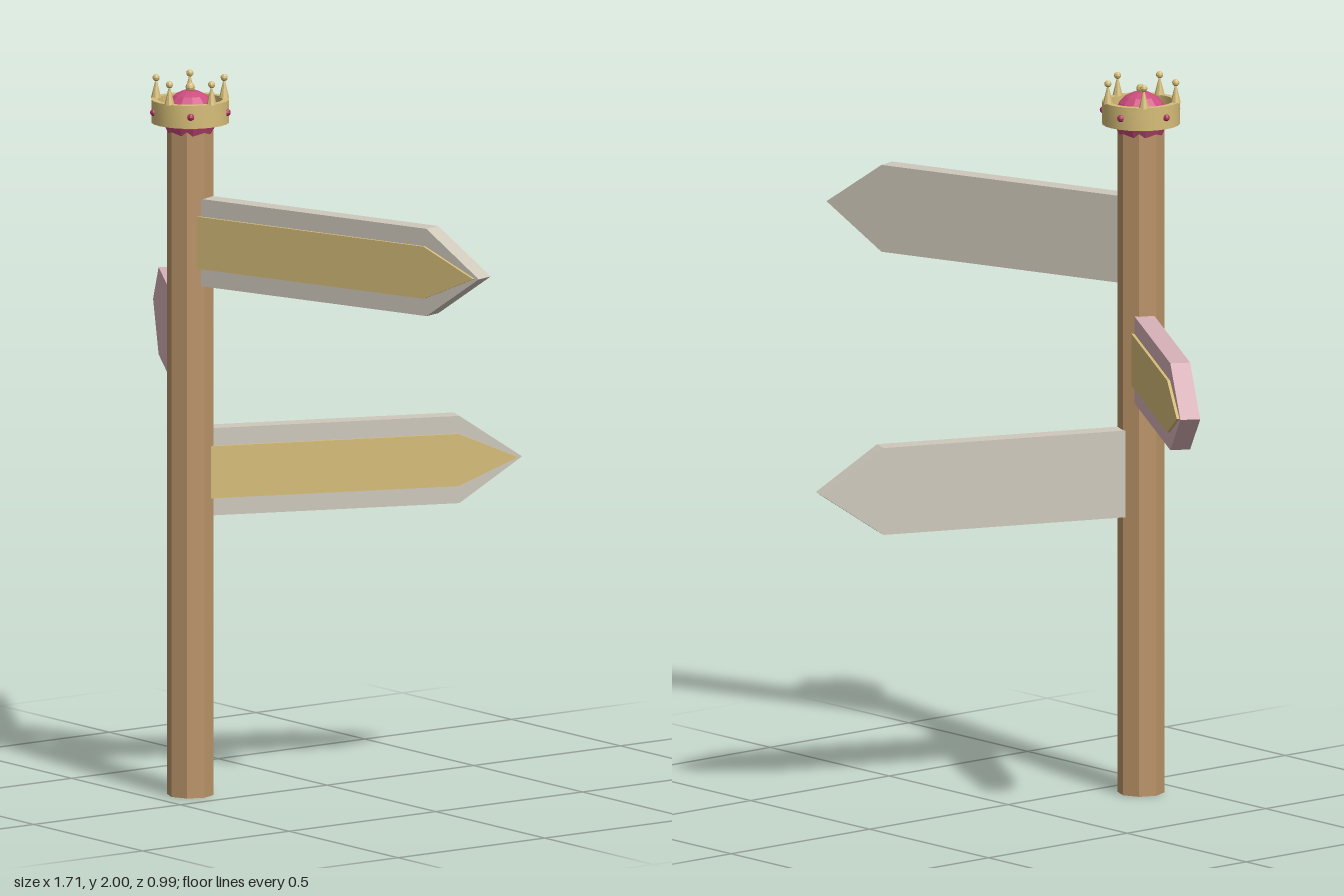
import * as THREE from 'three';
import { toCreasedNormals } from 'three/addons/utils/BufferGeometryUtils.js';

const material = (name, color) => {
  const m = new THREE.MeshStandardMaterial({ color });
  m.name = name;
  return m;
};

export function createModel() {
  const wood = material('wood', 0xba9468);
  const stone = material('pale grey', 0xcfc9bc);
  const rose = material('pale pink', 0xd8b2b8);
  const gold = material('gold', 0xd6bd78);
  const velvet = material('velvet pink', 0xcc4d7d);
  const ruby = material('ruby', 0xb0305f);

  const model = new THREE.Group();
  model.name = 'signpost';
  // everything is placed around the post's axis
  const post = new THREE.Group();
  post.name = 'postAssembly';
  post.position.set(-0.111, 0, 0.384);
  model.add(post);

  const add = (parent, name, geometry, mat, x = 0, y = 0, z = 0) => {
    const mesh = new THREE.Mesh(geometry, mat);
    mesh.name = name;
    mesh.position.set(x, y, z);
    parent.add(mesh);
    return mesh;
  };
  const faceted = (geometry) => toCreasedNormals(geometry, 0.01);

  // octagonal post
  add(post, 'pole', faceted(new THREE.CylinderGeometry(0.0645, 0.0645, 1.89, 8)), wood, 0, 0.945, 0);

  // arrow board: flat at the post, pointed at the far end
  const arrow = (start, shoulder, tip, height, depth) => {
    const h = height / 2;
    const shape = new THREE.Shape([
      new THREE.Vector2(start, -h),
      new THREE.Vector2(shoulder, -h),
      new THREE.Vector2(tip, 0),
      new THREE.Vector2(shoulder, h),
      new THREE.Vector2(start, h),
    ]);
    return new THREE.ExtrudeGeometry(shape, { depth, bevelEnabled: false });
  };

  const signs = [
    { name: 'upperSign', y: 1.546, angle: 17.1, tip: 1.0, mat: stone },
    { name: 'middleSign', y: 1.222, angle: 148.3, tip: 0.862, mat: rose },
    { name: 'lowerSign', y: 0.9, angle: 68.8, tip: 0.935, mat: stone },
  ];
  for (const { name, y, angle, tip, mat } of signs) {
    const sign = new THREE.Group();
    sign.name = name;
    sign.position.y = y;
    sign.rotation.y = THREE.MathUtils.degToRad(angle);
    post.add(sign);
    add(sign, 'board', arrow(0.045, tip - 0.178, tip, 0.243, 0.055), mat, 0, 0, -0.0285);
    add(sign, 'goldPanel', arrow(0.045, tip - 0.182, tip - 0.014, 0.145, 0.008), gold, 0, 0, 0.0265);
  }

  // crown on top of the post
  const crown = new THREE.Group();
  crown.name = 'crown';
  post.add(crown);
  const band = [[0.107, 1.872], [0.107, 1.936], [0.089, 1.936], [0.089, 1.872], [0.107, 1.872]]
    .map(([r, y]) => new THREE.Vector2(r, y));
  add(crown, 'band', toCreasedNormals(new THREE.LatheGeometry(band, 24), 0.5), gold);
  add(crown, 'cushion', faceted(new THREE.SphereGeometry(0.075, 12, 10)), velvet, 0, 1.887, 0);
  add(crown, 'topBead', faceted(new THREE.SphereGeometry(0.013, 8, 6)), gold, 0, 1.969, 0);

  const spike = faceted(new THREE.ConeGeometry(0.014, 0.058, 8));
  const bead = faceted(new THREE.SphereGeometry(0.01, 8, 6));
  const gem = faceted(new THREE.SphereGeometry(0.01, 8, 6));
  for (let i = 0; i < 5; i++) {
    const a = (i * 2 * Math.PI) / 5;
    const b = a + Math.PI / 5;
    const x = 0.098 * Math.cos(a), z = 0.098 * Math.sin(a);
    add(crown, 'spike', spike, gold, x, 1.963, z);
    add(crown, 'spikeBead', bead, gold, x, 1.99, z);
    add(crown, 'gem', gem, ruby, 0.106 * Math.cos(b), 1.904, 0.106 * Math.sin(b));
  }
  return model;
}
